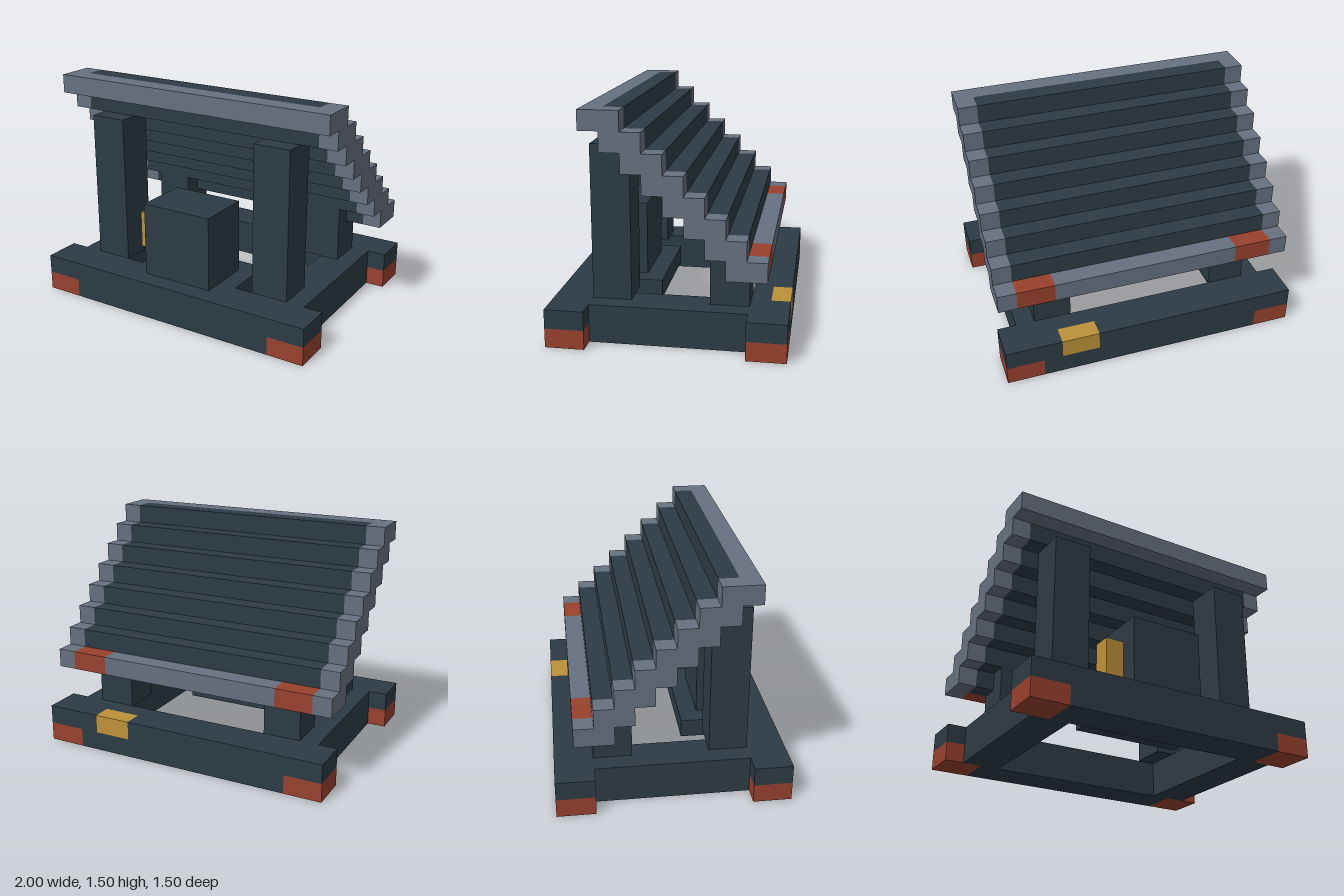
import * as THREE from 'three';

const mat = (name, color) => {
  const m = new THREE.MeshStandardMaterial({ color });
  m.name = name;
  return m;
};

export function createModel() {
  const dark = mat('darkSlate', 0x2d3b45);
  const grey = mat('steelGrey', 0x66707f);
  const red = mat('rustRed', 0x98412e);
  const yellow = mat('amber', 0xbd9139);
  const model = new THREE.Group();
  model.name = 'slopedPanelStand';

  // box given by its extents along each axis
  const box = (parent, name, material, [x0, x1], [y0, y1], [z0, z1]) => {
    const mesh = new THREE.Mesh(new THREE.BoxGeometry(x1 - x0, y1 - y0, z1 - z0), material);
    mesh.position.set((x0 + x1) / 2, (y0 + y1) / 2, (z0 + z1) / 2);
    mesh.name = name;
    parent.add(mesh);
  };
  // range mirrored to the chosen side of x = 0
  const side = (s, a, b) => (s > 0 ? [a, b] : [-b, -a]);
  const group = (name) => {
    const g = new THREE.Group();
    g.name = name;
    model.add(g);
    return g;
  };

  // base frame with coloured corner feet
  const base = group('base');
  const front = [0.5, 0.75], back = [-0.75, -0.5];
  box(base, 'frontBeamTop', dark, [-1, 1], [0.125, 0.25], front);
  box(base, 'backBeamInnerTop', dark, [-1, 1], [0.125, 0.25], [-0.625, -0.5]);
  box(base, 'backBeamRightTop', dark, [-1, 0.375], [0.125, 0.25], [-0.75, -0.625]);
  box(base, 'backBeamLeftTop', dark, [0.625, 1], [0.125, 0.25], [-0.75, -0.625]);
  box(base, 'backLamp', yellow, [0.375, 0.625], [0.125, 0.25], [-0.75, -0.625]);
  for (const z of [front, back]) {
    box(base, 'beamBottom', dark, [-0.75, 0.75], [0, 0.125], z);
    for (const s of [1, -1]) box(base, 'foot', red, side(s, 0.75, 1), [0, 0.125], z);
  }
  for (const s of [1, -1]) box(base, 'sideRail', dark, side(s, 0.625, 0.875), [0, 0.25], [-0.5, 0.5]);

  // control box on its floor plate
  const control = group('controlBox');
  box(control, 'floorPlate', dark, [-0.375, 0.375], [0.125, 0.25], [0.125, 0.5]);
  box(control, 'cabinet', dark, [-0.25, 0.25], [0.25, 0.75], [0.25, 0.625]);
  box(control, 'sideLamp', yellow, [-0.375, -0.25], [0.375, 0.625], [0.375, 0.5]);

  // tall front posts and short stepped back posts
  const posts = group('posts');
  for (const s of [1, -1]) {
    const x = side(s, 0.5, 0.75);
    box(posts, 'frontPost', dark, x, [0.25, 1.25], [0.25, 0.5]);
    box(posts, 'backPostInner', dark, x, [0.25, 0.625], [-0.375, -0.25]);
    box(posts, 'backPostOuter', dark, x, [0.25, 0.5], [-0.5, -0.375]);
  }

  // stepped sloping panel: dark slats inside a grey border
  const panel = group('panel');
  const steps = 8;
  for (let i = 0; i < steps; i++) {
    const y = [1.375 - i * 0.125, 1.5 - i * 0.125];
    const z0 = 0.25 - i * 0.125, z1 = z0 + 0.125, z2 = z0 + 0.25;
    for (const s of [1, -1]) box(panel, 'sideBorder', grey, side(s, 0.875, 1), y, [z0, z2]);
    const inner = [-0.875, 0.875];
    if (i === 0) {
      box(panel, 'topBorder', grey, inner, y, [z1, z2]);
      box(panel, 'slat', dark, inner, y, [z0, z1]);
    } else if (i === steps - 1) {
      box(panel, 'slat', dark, inner, y, [z1, z2]);
      box(panel, 'bottomBorder', grey, [-0.625, 0.625], y, [z0, z1]);
      for (const s of [1, -1]) box(panel, 'bottomMarker', red, side(s, 0.625, 0.875), y, [z0, z1]);
    } else {
      box(panel, 'slat', dark, inner, y, [z0, z2]);
    }
  }
  return model;
}
